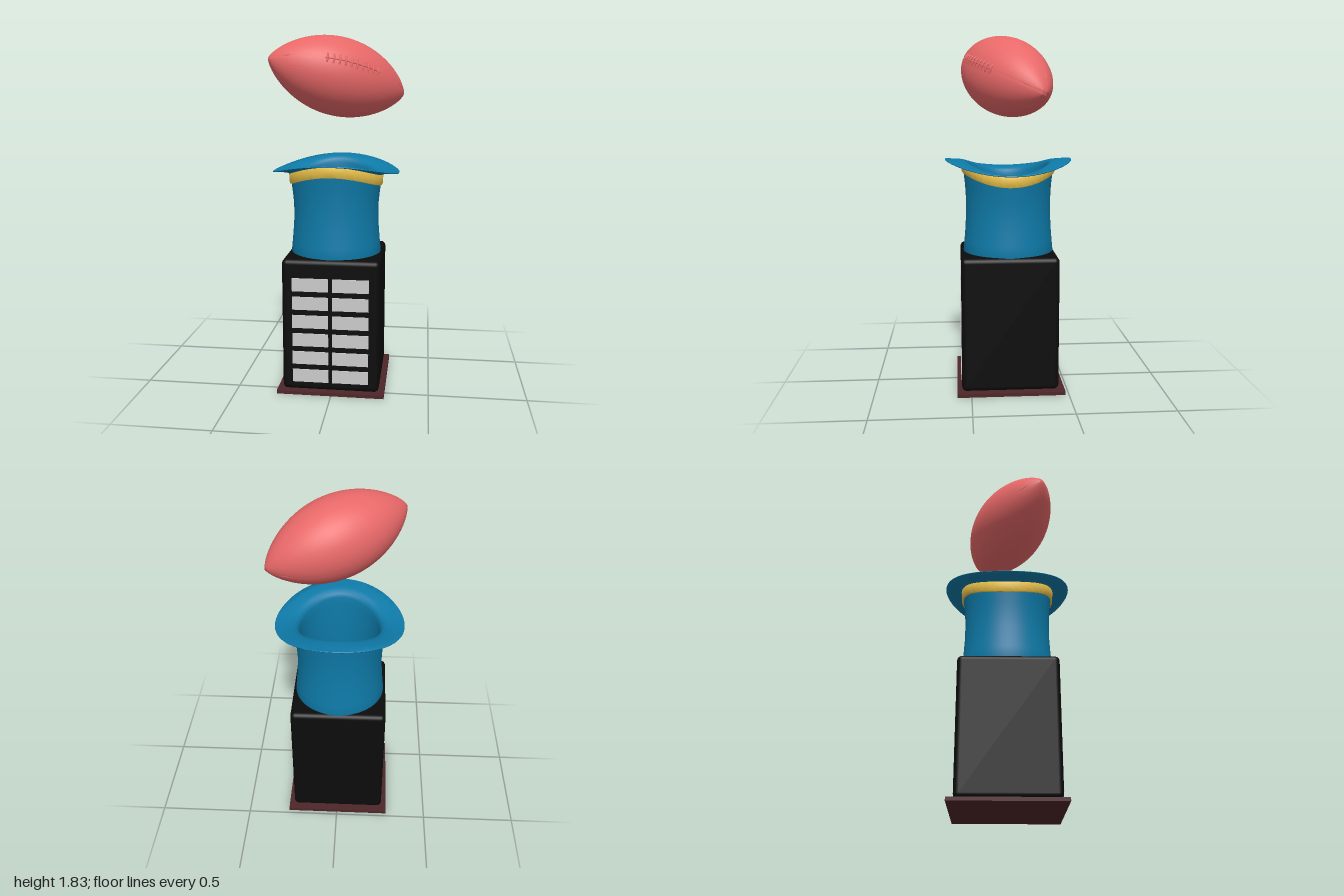
import * as THREE from 'three';
import { mergeVertices, toCreasedNormals } from 'three/addons/utils/BufferGeometryUtils.js';
import { RoundedBoxGeometry } from 'three/addons/geometries/RoundedBoxGeometry.js';

const CX = -0.005, CZ = 0.296; // axis of pedestal and hat

const paint = (color) => new THREE.MeshStandardMaterial({ color });

function addMesh(parent, name, geometry, material, x = 0, y = 0, z = 0) {
  const mesh = new THREE.Mesh(geometry, material);
  mesh.name = name;
  mesh.position.set(x, y, z);
  parent.add(mesh);
  return mesh;
}

// Lathe a profile, move its vertices by a rule, and rebuild normals without a seam
function warpedLathe(profile, segments, rule, crease) {
  let g = new THREE.LatheGeometry(profile.map(([r, y]) => new THREE.Vector2(r, y)), segments);
  const p = g.attributes.position, v = new THREE.Vector3();
  for (let i = 0; i < p.count; i++) {
    rule(v.fromBufferAttribute(p, i));
    p.setXYZ(i, v.x, v.y, v.z);
  }
  g.deleteAttribute('uv');
  g.deleteAttribute('normal');
  g = mergeVertices(g, 1e-5);
  return toCreasedNormals(g, crease);
}

// The upper part of the hat sinks towards its two sides
function droop(v) {
  const r2 = v.x * v.x + v.z * v.z;
  if (r2 < 1e-8) return;
  v.y -= 0.061 * (v.x * v.x / r2) * THREE.MathUtils.smoothstep(v.y, 0.95, 1.3);
}

function createPedestal() {
  const group = new THREE.Group();
  group.name = 'pedestal';
  addMesh(group, 'basePlate', new THREE.BoxGeometry(0.556, 0.018, 0.556), paint(0x4e2628), CX, 0.181, CZ);
  addMesh(group, 'pedestalBlock', new RoundedBoxGeometry(0.5, 0.697, 0.5, 4, 0.025), paint(0x0c0c0c), CX, 0.5375, CZ + 0.003);
  // Two columns of blank plates
  const plate = new THREE.BoxGeometry(0.186, 0.069, 0.008), silver = paint(0xbcbcbc);
  for (let row = 0; row < 6; row++)
    for (const x of [-0.108, 0.098])
      addMesh(group, 'plate', plate, silver, x, 0.757 - row * 0.0975, 0.549);
  return group;
}

function createHat() {
  const group = new THREE.Group();
  group.name = 'hat';
  group.position.set(CX, 0, CZ);
  const hat = [
    [0, 0.883], [0.236, 0.883], [0.237, 0.89], [0.232, 0.94], [0.227, 1], [0.223, 1.07], [0.222, 1.14],
    [0.224, 1.2], [0.228, 1.25], [0.234, 1.3], [0.239, 1.34], [0.246, 1.356], [0.262, 1.362], [0.3, 1.365],
    [0.329, 1.365], [0.331, 1.368], [0.329, 1.371], [0.29, 1.37], [0.25, 1.368], [0.226, 1.362],
    [0.212, 1.35], [0.207, 1.33], [0.206, 1.29], [0.203, 1.2], [0.203, 1.1], [0.208, 1], [0.215, 0.91], [0, 0.905],
  ];
  addMesh(group, 'hatBodyAndBrim', warpedLathe(hat, 96, droop, 1), paint(0x0e7aa8));
  const band = [
    [0.23, 1.302], [0.241, 1.302], [0.244, 1.307], [0.2455, 1.33], [0.247, 1.354], [0.245, 1.358], [0.236, 1.358], [0.23, 1.302],
  ];
  addMesh(group, 'hatBand', warpedLathe(band, 96, droop, 0.7), paint(0xecc34a));
  return group;
}

function createBall() {
  const group = new THREE.Group();
  group.name = 'ball';
  const HALF = 0.378, R = 0.198, red = paint(0xe86868);
  const radius = (t) => R * Math.pow(Math.max(0, 1 - t * t), 0.75);

  // Spindle with four shallow seams running from tip to tip
  const profile = [];
  for (let i = 0; i <= 64; i++) {
    const t = -Math.cos(Math.PI * i / 64);
    profile.push([i % 64 ? radius(t) : 0, t * HALF]);
  }
  addMesh(group, 'ballSkin', warpedLathe(profile, 192, (v) => {
    const r = Math.hypot(v.x, v.z);
    if (r < 0.03) return;
    if (Math.min(Math.abs(v.x), Math.abs(v.z)) < 0.001) {
      const k = 1 - 0.003 / r;
      v.x *= k;
      v.z *= k;
    }
  }, 1.2), red);

  // Laces: a raised cord along the seam and short cross stitches
  const onSkin = (y, angle, lift) => {
    const r = radius(y / HALF) + lift;
    return new THREE.Vector3(Math.sin(angle) * r, y, Math.cos(angle) * r);
  };
  const tube = (name, points, thickness) => addMesh(group, name,
    new THREE.TubeGeometry(new THREE.CatmullRomCurve3(points), 12, thickness, 8), red);
  const steps = [-1, -0.5, 0, 0.5, 1];
  tube('laceCord', steps.map((s) => onSkin(s * 0.145, 0, 0.001)), 0.004);
  for (let i = 0; i < 10; i++) {
    const y = -0.135 + i * 0.03;
    tube('laceStitch', steps.map((s) => onSkin(y, s * 0.13, 0.004 - 0.005 * s * s)), 0.005);
  }

  // Tilt: long axis down to the right and back, laces to the front
  const axis = new THREE.Vector3(0.65, -0.18, -0.33).normalize();
  const lace = new THREE.Vector3(0.1, 0.07, 0.17);
  lace.addScaledVector(axis, -lace.dot(axis)).normalize();
  const side = new THREE.Vector3().crossVectors(axis, lace);
  group.quaternion.setFromRotationMatrix(new THREE.Matrix4().makeBasis(side, axis, lace));
  group.position.set(0.008, 1.793, 0.31);
  return group;
}

export function createModel() {
  const model = new THREE.Group();
  model.name = 'trophy';
  model.add(createPedestal(), createHat(), createBall());
  return model;
}
